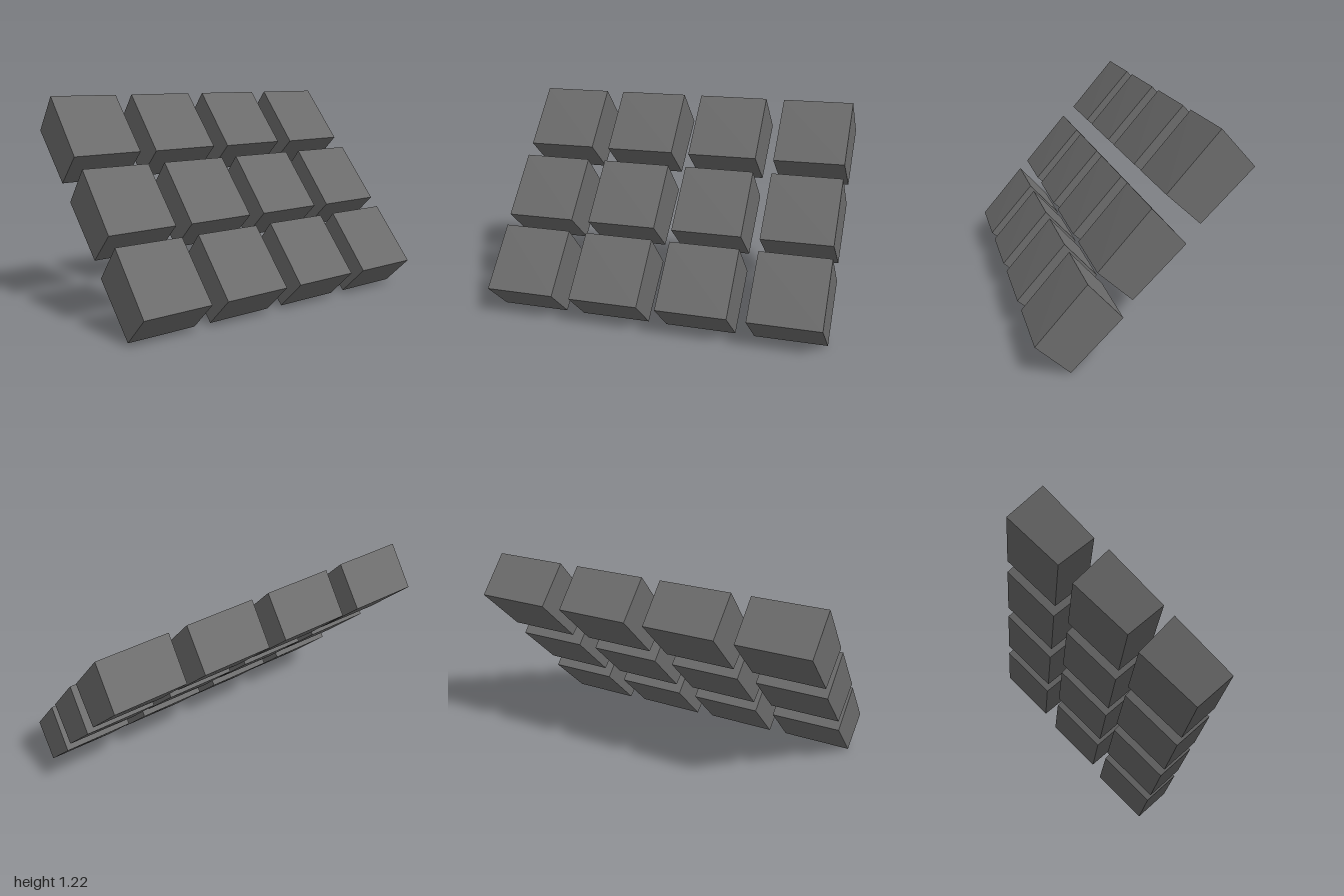
import * as THREE from 'three';

// Corners of one slightly skewed block, as [x, y, z], in the order
// top, right, bottom, left
const FRONT = [[-0.38, 1.225, 0.995], [-0.11, 0.909, 1.0], [-0.29, 0.745, 0.985], [-0.561, 1.024, 0.979]];
const BACK = [[-0.379, 1.225, 0.581], [-0.107, 0.912, 0.585], [-0.287, 0.748, 0.571], [-0.56, 1.025, 0.568]];

// Steps of the three descending rows, and the spacing of blocks along a row
const ROWS = [[0, 0], [0.345, -0.376], [0.667, -0.744]];
const SPACING = 0.5227;
const PER_ROW = 4;

// A box whose eight corners are moved to the skewed positions
function blockGeometry() {
  const geometry = new THREE.BoxGeometry(1, 1, 1);
  const pos = geometry.attributes.position;
  for (let i = 0; i < pos.count; i++) {
    const right = pos.getX(i) > 0;
    const upper = pos.getY(i) > 0;
    const corner = upper ? (right ? 1 : 0) : (right ? 2 : 3);
    pos.setXYZ(i, ...(pos.getZ(i) > 0 ? FRONT : BACK)[corner]);
  }
  geometry.computeVertexNormals();
  return geometry;
}

export function createModel() {
  const model = new THREE.Group();
  model.name = 'slopedBlockArray';
  const material = new THREE.MeshStandardMaterial({ color: 0x6c6c6c, flatShading: true });
  const geometry = blockGeometry();

  ROWS.forEach(([x, y], r) => {
    const row = new THREE.Group();
    row.name = `blockRow${r + 1}`;
    row.position.set(x, y, 0);
    for (let i = 0; i < PER_ROW; i++) {
      const block = new THREE.Mesh(geometry, material);
      block.name = `block${i + 1}`;
      block.position.z = -i * SPACING;
      row.add(block);
    }
    model.add(row);
  });
  return model;
}
